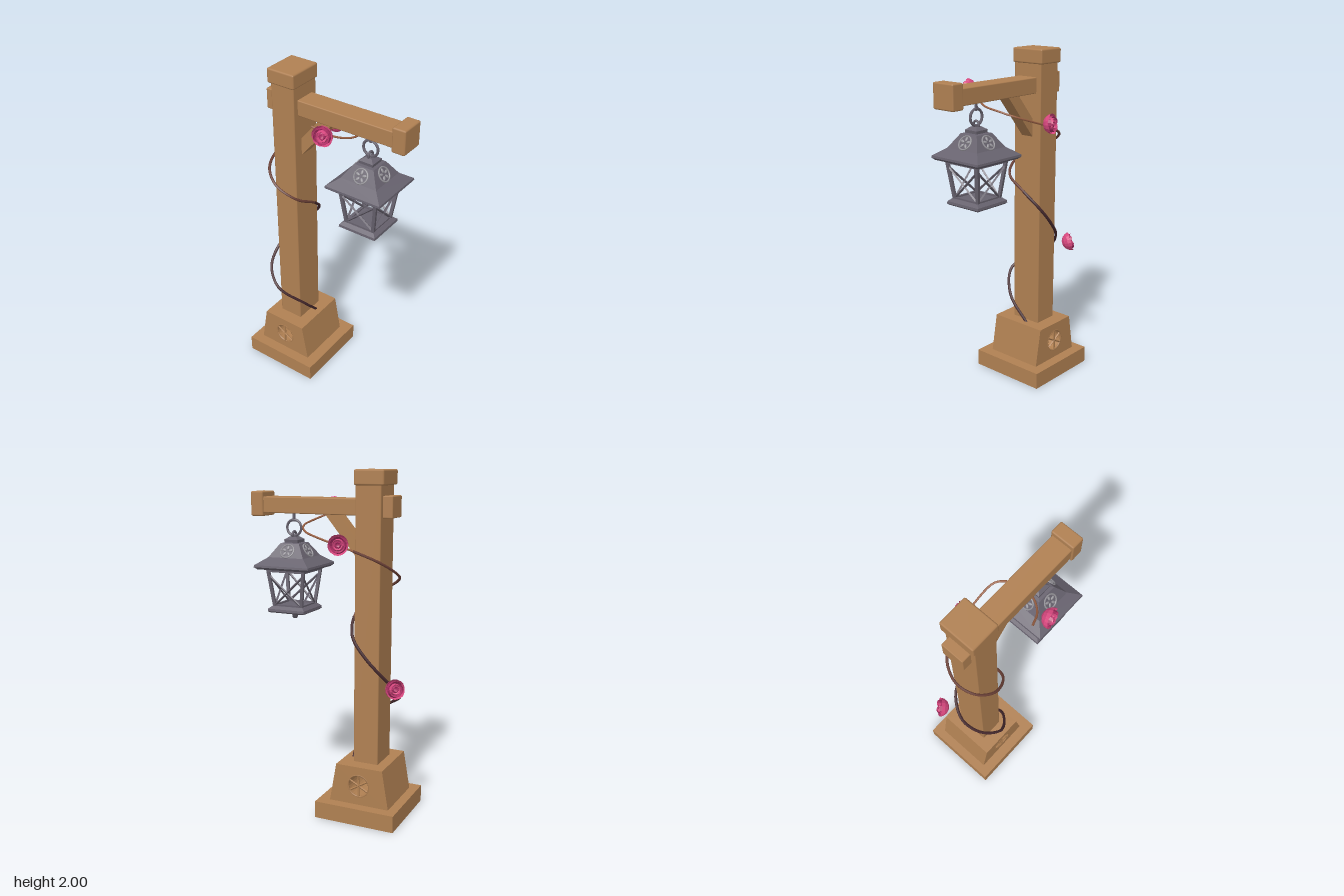
import * as THREE from 'three';
import { toCreasedNormals } from 'three/addons/utils/BufferGeometryUtils.js';
import { RoundedBoxGeometry } from 'three/addons/geometries/RoundedBoxGeometry.js';

const paint = (name, color) => {
  const m = new THREE.MeshStandardMaterial({ color });
  m.name = name;
  return m;
};
const V = (x, y, z) => new THREE.Vector3(x, y, z);

export function createModel() {
  const model = new THREE.Group();
  model.name = 'lanternPost';
  const wood = paint('wood', 0xb08052);
  const iron = paint('iron', 0x67626e);
  const silver = paint('paleIron', 0x96949a);
  const vineLow = paint('darkVine', 0x46292d);
  const vineMid = paint('brownVine', 0x6b4036);
  const vineTop = paint('lightVine', 0x9c6245);
  const pink = paint('petalPink', 0xd8487f);
  const deepPink = paint('petalDeepPink', 0xb02f66);
  pink.side = deepPink.side = THREE.DoubleSide;

  const add = (name, geo, mat, parent = model) => {
    const mesh = new THREE.Mesh(geo, mat);
    mesh.name = name;
    parent.add(mesh);
    return mesh;
  };
  // Box given by its limits, with slightly worn edges
  const block = (name, x0, x1, y0, y1, hz, mat = wood, r = 0.006) => {
    const geo = new RoundedBoxGeometry(x1 - x0, y1 - y0, hz * 2, 1, r);
    return add(name, geo.translate((x0 + x1) / 2, (y0 + y1) / 2, 0), mat);
  };
  // Square bar between two points
  const bar = (name, a, b, t, mat, parent) => {
    const mesh = add(name, new THREE.BoxGeometry(t, t, a.distanceTo(b)), mat, parent);
    mesh.position.copy(a).add(b).multiplyScalar(0.5);
    mesh.quaternion.setFromUnitVectors(V(0, 0, 1), b.clone().sub(a).normalize());
    return mesh;
  };
  // Four-sided turned solid; profile is [half width, y] from bottom to top
  const square = (name, profile, mat, parent) => {
    const pts = profile.map(([h, y]) => new THREE.Vector2(h * Math.SQRT2, y));
    const geo = new THREE.LatheGeometry(pts, 4, Math.PI / 4);
    return add(name, toCreasedNormals(geo, 0.2), mat, parent);
  };

  // Plinth: slab on a hollow rim
  const px = -0.246;
  const rim = new THREE.Shape([[-1, -1], [1, -1], [1, 1], [-1, 1]].map(([x, y]) => new THREE.Vector2(x * 0.243, y * 0.243)));
  rim.holes.push(new THREE.Path([[-1, -1], [-1, 1], [1, 1], [1, -1]].map(([x, y]) => new THREE.Vector2(x * 0.2, y * 0.2))));
  const rimGeo = new THREE.ExtrudeGeometry(rim, { depth: 0.06, bevelEnabled: false });
  add('plinthRim', rimGeo.rotateX(-Math.PI / 2).translate(px, 0, 0), wood);
  const slab = new THREE.BoxGeometry(0.486, 0.04, 0.486);
  add('plinthSlab', slab.translate(px, 0.08, 0), wood);

  // Pedestal: tapered sideways, with a round opening from front to back
  const ped = new THREE.Shape([[-0.435, 0.1], [-0.07, 0.1], [-0.11, 0.33], [-0.395, 0.33]].map(p => new THREE.Vector2(...p)));
  const opening = new THREE.Path();
  opening.absarc(-0.25, 0.215, 0.066, 0, Math.PI * 2, true);
  ped.holes.push(opening);
  const pedGeo = new THREE.ExtrudeGeometry(ped, { depth: 0.36, bevelEnabled: false, curveSegments: 14 });
  add('pedestal', pedGeo.translate(0, 0, -0.18), wood);

  // Open rosettes in the pedestal faces
  for (const s of [1, -1]) {
    const rosette = new THREE.Group();
    rosette.name = 'pedestalRosette';
    rosette.position.set(-0.25, 0.215, s * 0.176);
    add('rosetteRim', new THREE.TorusGeometry(0.066, 0.006, 5, 24), wood, rosette);
    for (let i = 0; i < 3; i++) {
      const a = i * Math.PI / 3 + 0.5, d = V(Math.cos(a) * 0.064, Math.sin(a) * 0.064, 0);
      bar('rosetteSpoke', d.clone().negate(), d, 0.008, wood, rosette);
    }
    model.add(rosette);
  }

  // Post, beam and caps
  block('post', -0.335, -0.183, 0.32, 1.94, 0.098);
  block('postCap', -0.353, -0.175, 1.915, 2, 0.108, wood, 0.01);
  block('beam', -0.36, 0.43, 1.75, 1.842, 0.065);
  block('beamTail', -0.392, -0.33, 1.74, 1.86, 0.07);
  block('beamCap', 0.41, 0.49, 1.73, 1.872, 0.074, wood, 0.009);

  // Diagonal brace
  const brace = new THREE.Shape([[-0.19, 1.49], [0.03, 1.755], [-0.055, 1.755], [-0.19, 1.595]].map(p => new THREE.Vector2(...p)));
  const braceGeo = new THREE.ExtrudeGeometry(brace, { depth: 0.08, bevelEnabled: false });
  add('brace', braceGeo.translate(0, 0, -0.04), wood);

  // Hanging lantern
  const lantern = new THREE.Group();
  lantern.name = 'lantern';
  lantern.position.x = 0.244;
  model.add(lantern);
  bar('hook', V(0, 1.7, 0), V(0, 1.76, 0), 0.013, iron, lantern);
  add('hangingRing', new THREE.TorusGeometry(0.046, 0.008, 6, 20), iron, lantern).position.y = 1.665;
  const eye = add('eyelet', new THREE.TorusGeometry(0.02, 0.007, 6, 14), iron, lantern);
  eye.position.y = 1.625;
  eye.rotation.y = Math.PI / 2;
  square('roofCrown', [[0, 1.575], [0.042, 1.575], [0.044, 1.598], [0.02, 1.615], [0, 1.615]], iron, lantern);
  square('roof', [[0, 1.432], [0.16, 1.432], [0.175, 1.445], [0.173, 1.457], [0.112, 1.5], [0.06, 1.578], [0, 1.59]], iron, lantern);
  square('tray', [[0, 1.175], [0.11, 1.175], [0.119, 1.183], [0.117, 1.197], [0.098, 1.213], [0, 1.213]], iron, lantern);
  const finial = [[0, 1.13], [0.014, 1.133], [0.018, 1.15], [0.028, 1.16], [0.03, 1.178]].map(p => new THREE.Vector2(...p));
  add('finial', new THREE.LatheGeometry(finial, 10), iron, lantern);

  // Four identical lantern sides with corner post, rails, cross and roof rosette
  const top = 0.115, low = 0.087, yt = 1.425, yb = 1.215;
  for (let i = 0; i < 4; i++) {
    const side = new THREE.Group();
    side.name = 'lanternSide';
    side.rotation.y = i * Math.PI / 2;
    lantern.add(side);
    bar('cornerPost', V(low, yb - 0.005, low), V(top, yt + 0.01, top), 0.018, iron, side);
    bar('topRail', V(-top, yt, top), V(top, yt, top), 0.02, iron, side);
    bar('bottomRail', V(-low, yb, low), V(low, yb, low), 0.014, iron, side);
    for (const s of [1, -1]) bar('crossBar', V(-s * low, yb, low), V(s * (top - 0.005), yt - 0.03, top - 0.004), 0.01, iron, side);

    const badge = new THREE.Group();
    badge.name = 'roofRosette';
    badge.position.set(0, 1.537, 0.089);
    badge.rotation.x = -Math.atan2(0.052, 0.078);
    side.add(badge);
    add('badgeRim', new THREE.TorusGeometry(0.041, 0.005, 5, 20), silver, badge);
    for (let k = 0; k < 5; k++) {
      const a = k * Math.PI * 0.4 + 0.3;
      const leaf = add('badgeLeaf', new THREE.SphereGeometry(1, 8, 5), silver, badge);
      leaf.scale.set(0.015, 0.008, 0.005);
      leaf.position.set(Math.cos(a) * 0.022, Math.sin(a) * 0.022, 0);
      leaf.rotation.z = a;
    }
  }

  // Vine winding up the post and round the brace
  const path = new THREE.CatmullRomCurve3([
    [-0.155, 0.325, -0.03], [-0.155, 0.47, 0.1], [-0.27, 0.6, 0.195], [-0.375, 0.675, 0.13], [-0.41, 0.75, 0.01],
    [-0.345, 0.87, -0.1], [-0.26, 0.97, -0.128], [-0.18, 1.07, -0.11], [-0.142, 1.17, -0.01], [-0.165, 1.25, 0.12],
    [-0.27, 1.32, 0.163], [-0.365, 1.38, 0.11], [-0.4, 1.43, 0], [-0.345, 1.5, -0.11], [-0.2, 1.565, -0.16],
    [0, 1.63, -0.178], [0.09, 1.66, -0.16], [0.14, 1.688, -0.08], [0.14, 1.71, 0.04], [0.08, 1.745, 0.13], [-0.01, 1.79, 0.175],
  ].map(p => V(...p)));
  [[0, 0.4, 0.009, vineLow], [0.4, 0.7, 0.008, vineMid], [0.7, 1, 0.006, vineTop]].forEach(([t0, t1, r, mat]) => {
    const pts = [];
    for (let i = 0; i <= 24; i++) pts.push(path.getPoint(t0 + (t1 - t0) * i / 24));
    add('vine', new THREE.TubeGeometry(new THREE.CatmullRomCurve3(pts), 48, r, 6), mat);
  });

  // Rose: rings of cupped petals opening along a direction
  const rose = (pos, dir) => {
    const flower = new THREE.Group();
    flower.name = 'rose';
    flower.position.copy(pos);
    flower.quaternion.setFromUnitVectors(V(0, 1, 0), dir.normalize());
    // [petals, radius, rim angle, height, lean, colour]
    [[5, 0.058, 0.46, 0.058, 0.16, pink], [5, 0.047, 0.36, 0.052, 0.1, deepPink],
     [4, 0.034, 0.3, 0.052, 0.06, pink], [3, 0.02, 0.25, 0.052, 0, deepPink]].forEach(([n, r, rim, h, lean, mat], ring) => {
      for (let i = 0; i < n; i++) {
        const span = Math.PI * 2 / n * 1.2;
        const geo = new THREE.SphereGeometry(r, 4, 4, -span / 2, span, Math.PI * rim, Math.PI * (1 - rim));
        const p = geo.attributes.position;
        // Lower the petal's side corners so the rim is scalloped
        for (let k = 0; k < p.count; k++) {
          const col = Math.abs(k % 5 - 2) / 2, up = Math.max(0, p.getY(k) / r + 0.3);
          p.setY(k, p.getY(k) - col * col * up * r * 0.45);
        }
        geo.rotateZ(lean);
        geo.rotateY(i / n * Math.PI * 2 + ring * 0.6);
        geo.translate(0, h - 0.04, 0);
        add('petal', toCreasedNormals(geo, 0.3), mat, flower);
      }
    });
    model.add(flower);
  };
  rose(V(-0.44, 0.805, -0.125), V(-0.6, 0.25, -0.6));
  rose(V(-0.135, 1.6, -0.21), V(-0.25, 0.15, -1));
  rose(V(0.085, 1.78, 0.205), V(0.25, 0.1, 1));

  return model;
}
